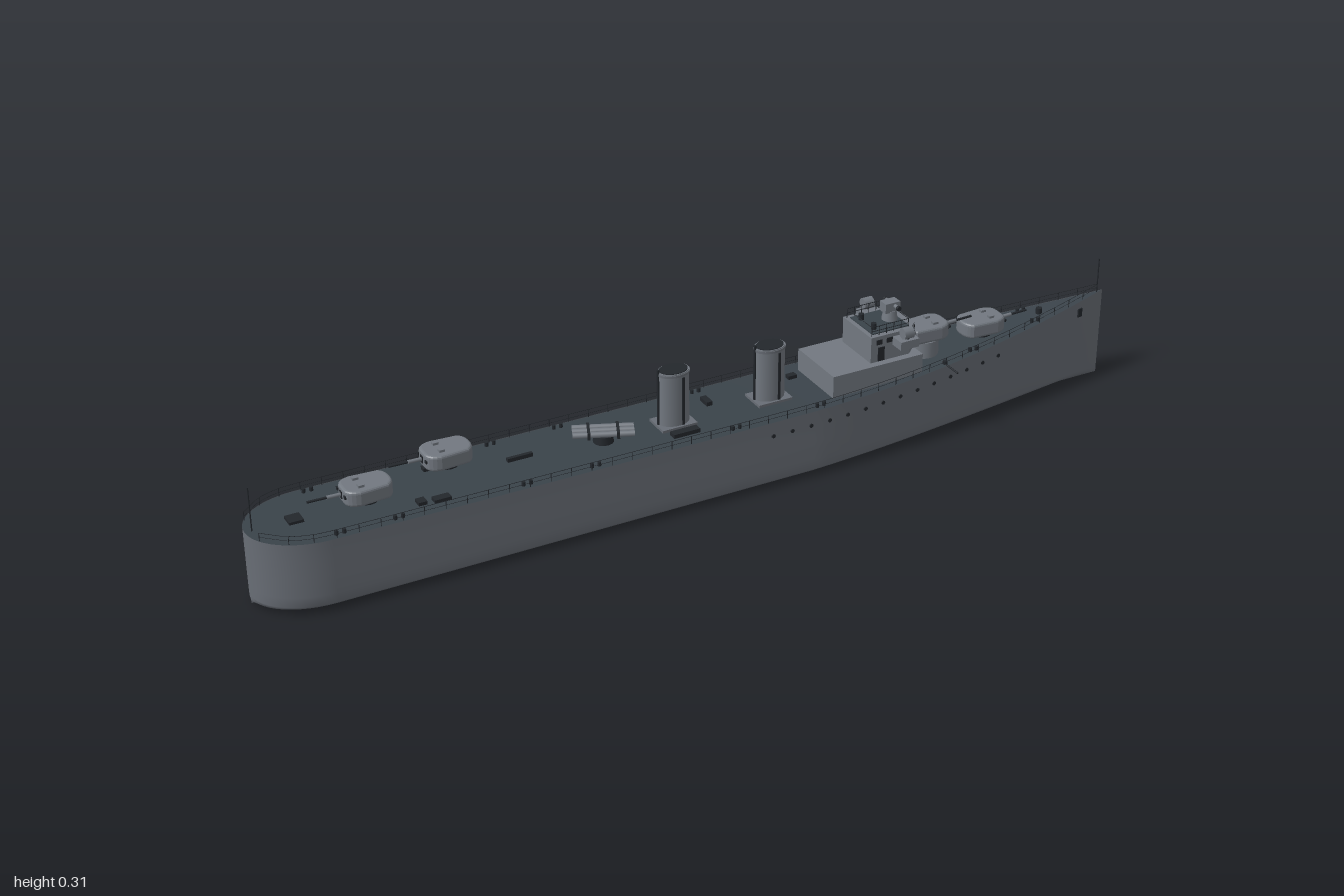
import * as THREE from 'three';

const mat = (name, color, side = THREE.FrontSide) => {
  const m = new THREE.MeshStandardMaterial({ color, side });
  m.name = name;
  return m;
};

// Half beam and deck height along the ship
const beam = (x) => {
  if (x < -0.86) return 0.103 * Math.sqrt(Math.max(0, 1 - ((-0.86 - x) / 0.14) ** 2));
  if (x > 0.2) return 0.103 * (1 - ((x - 0.2) / 0.8) ** 1.8);
  return 0.103;
};
const sheer = (x) => 0.156 + (x > 0.1 ? 0.05 * ((x - 0.1) / 0.9) ** 2 : 0) + (x < 0 ? 0.004 * x * x : 0);
// The lower hull is finer than the deck towards the bow
const sideAt = (x, v) => beam(x) * (1 - (x > 0.2 ? 0.35 * ((x - 0.2) / 0.8) * (1 - v) : 0));

const stations = [];
for (let i = 0; i <= 12; i++) stations.push(-0.86 - 0.14 * Math.cos((i / 12) * Math.PI / 2));
for (let x = -0.7; x < 0.2; x += 0.15) stations.push(x);
for (let i = 0; i <= 24; i++) stations.push(0.2 + (0.8 * i) / 24);

// Loft rows of equal length into a surface
function loft(rows) {
  const pos = rows.flat(2), idx = [], n = rows[0].length;
  for (let i = 0; i < rows.length - 1; i++) for (let j = 0; j < n - 1; j++) {
    const a = i * n + j, b = a + n;
    idx.push(a, b, a + 1, b, b + 1, a + 1);
  }
  const g = new THREE.BufferGeometry();
  g.setAttribute('position', new THREE.Float32BufferAttribute(pos, 3));
  g.setIndex(idx);
  g.computeVertexNormals();
  return g;
}

export function createModel() {
  const root = new THREE.Group();
  const ship = new THREE.Group();
  ship.name = 'ship';
  ship.position.z = -0.007;
  root.add(ship);

  const hullGrey = mat('hullGrey', 0x686d75, THREE.DoubleSide);
  const deckGrey = mat('deckGrey', 0x3a434a, THREE.DoubleSide);
  const upperGrey = mat('upperworksGrey', 0x727880);
  const dark = mat('darkFittings', 0x23272c, THREE.DoubleSide);

  const add = (name, geo, m, x = 0, y = 0, z = 0, parent = ship) => {
    const mesh = new THREE.Mesh(geo, m);
    mesh.name = name;
    mesh.position.set(x, y, z);
    parent.add(mesh);
    return mesh;
  };
  const box = (name, m, w, h, d, x, y, z, parent) => add(name, new THREE.BoxGeometry(w, h, d), m, x, y + h / 2, z, parent);
  const cyl = (name, m, r, h, x, y, z, parent, r2 = r, seg = 14) =>
    add(name, new THREE.CylinderGeometry(r2, r, h, seg), m, x, y + h / 2, z, parent);
  const rod = (name, m, r, a, b, parent) => {
    const p = new THREE.Vector3(...a), q = new THREE.Vector3(...b);
    const mesh = add(name, new THREE.CylinderGeometry(r, r, p.distanceTo(q), 8), m, 0, 0, 0, parent);
    mesh.position.copy(p).lerp(q, 0.5);
    mesh.quaternion.setFromUnitVectors(new THREE.Vector3(0, 1, 0), q.sub(p).normalize());
    return mesh;
  };

  // Hull: keel to deck edge on both sides
  const half = [[0, 0], [0.5, 0.006], [0.92, 0.011], [0.985, 0.018], [1, 0.04], [1, 0.085], [0.995, 0.12]];
  const section = (x) => {
    const pts = half.map(([f, y]) => [x, y, f * sideAt(x, y / 0.16)]);
    pts.push([x, sheer(x), beam(x)]);
    return [...pts.slice(1).reverse().map(([a, y, z]) => [a, y, -z]), ...pts];
  };
  add('hull', loft(stations.map(section)), hullGrey);
  add('deck', loft(stations.map((x) => [-1, 0, 1].map((s) => [x, sheer(x) - 0.001, s * beam(x)]).reverse())), deckGrey);

  // Portholes, anchors, railings and bollards on both sides
  for (const s of [-1, 1]) {
    for (let i = 0; i < 14; i++) {
      const x = 0.1 + i * 0.045, y = sheer(x) - 0.031;
      const p = add('porthole', new THREE.CylinderGeometry(0.0045, 0.0045, 0.004, 12), dark, x, y, s * sideAt(x, y / sheer(x)));
      p.rotation.x = Math.PI / 2;
    }
    const a = box('anchor', dark, 0.012, 0.02, 0.005, 0.93, 0.162, s * (sideAt(0.93, 0.85) + 0.001));
    a.rotation.y = s * 0.2;

    const rail = (x) => new THREE.Vector3(x, sheer(x) + 0.018, s * Math.max(0.001, beam(x) - 0.003));
    const path = [];
    for (let i = 0; i <= 44; i++) {
      const x = -0.985 + (1.97 * i) / 44, p = rail(x);
      path.push(p);
      cyl('railingPost', dark, 0.0008, 0.018, x, p.y - 0.018, p.z, ship, 0.0008, 5);
    }
    const curve = new THREE.CatmullRomCurve3(path);
    add('railing', new THREE.TubeGeometry(curve, 88, 0.0006, 4), dark);
    add('lowerRailing', new THREE.TubeGeometry(curve, 88, 0.0005, 4), dark, 0, -0.009, 0);
    for (const x of [-0.84, -0.72, -0.45, -0.3, 0.02, 0.22, 0.62, 0.8])
      for (const d of [-0.008, 0.008]) cyl('bollard', dark, 0.004, 0.009, x + d, sheer(x), s * (beam(x) - 0.014));
  }

  // Gun mounts: rounded shield, hood, sights and barrel
  const plan = new THREE.Shape();
  plan.moveTo(-0.035, -0.026);
  plan.lineTo(0.022, -0.03);
  plan.quadraticCurveTo(0.044, -0.027, 0.044, -0.01);
  plan.lineTo(0.044, 0.01);
  plan.quadraticCurveTo(0.044, 0.027, 0.022, 0.03);
  plan.lineTo(-0.035, 0.026);
  plan.quadraticCurveTo(-0.046, 0.02, -0.046, 0);
  plan.quadraticCurveTo(-0.046, -0.02, -0.035, -0.026);
  const shield = new THREE.ExtrudeGeometry(plan, { depth: 0.022, bevelSize: 0.006, bevelThickness: 0.006, bevelSegments: 3, curveSegments: 5 });
  shield.rotateX(-Math.PI / 2);
  const gun = (x, y, aft) => {
    const g = new THREE.Group();
    g.name = 'gunMount';
    g.position.set(x, y, 0);
    if (aft) g.rotation.y = Math.PI;
    ship.add(g);
    cyl('gunBase', dark, 0.026, 0.008, 0, -0.006, 0, g);
    add('gunShield', shield, upperGrey, 0, 0.006, 0, g);
    for (const s of [-1, 1]) {
      box('sightHood', upperGrey, 0.012, 0.007, 0.01, 0.015, 0.032, s * 0.016, g);
      box('sightPort', dark, 0.003, 0.006, 0.008, 0.05, 0.018, s * 0.02, g);
    }
    box('gunPort', dark, 0.003, 0.016, 0.01, 0.05, 0.01, 0, g);
    rod('gunBarrel', upperGrey, 0.004, [0.04, 0.018, 0], [0.08, 0.019, 0], g);
    rod('gunMuzzle', dark, 0.0026, [0.075, 0.019, 0], [0.12, 0.02, 0], g);
  };
  gun(0.675, 0.184, false);
  gun(0.53, 0.204, false);
  gun(-0.582, 0.202, true);
  gun(-0.752, 0.17, true);

  // Deckhouse and bridge
  box('deckhouse', upperGrey, 0.22, 0.055, 0.146, 0.37, 0.152, 0);
  cyl('forwardGunPedestal', upperGrey, 0.032, 0.045, 0.53, 0.158, 0, ship, 0.032, 20);
  const bridgePlan = new THREE.Shape();
  bridgePlan.moveTo(-0.06, -0.057);
  bridgePlan.lineTo(0.035, -0.057);
  bridgePlan.lineTo(0.06, -0.035);
  bridgePlan.lineTo(0.06, 0.035);
  bridgePlan.lineTo(0.035, 0.057);
  bridgePlan.lineTo(-0.06, 0.057);
  const bridge = new THREE.ExtrudeGeometry(bridgePlan, { depth: 0.06, bevelEnabled: false });
  bridge.rotateX(-Math.PI / 2);
  add('bridge', bridge, upperGrey, 0.42, 0.206, 0);
  box('bridgeFloor', deckGrey, 0.09, 0.003, 0.09, 0.415, 0.2655, 0);
  for (let i = -2; i <= 2; i++) box('bridgeWindow', dark, 0.003, 0.013, 0.011, 0.4805, 0.246, i * 0.0145);
  for (const s of [-1, 1]) {
    box('bridgeWing', upperGrey, 0.045, 0.019, 0.035, 0.435, 0.239, s * 0.0735);
    for (let i = 0; i < 3; i++) box('sideWindow', dark, 0.014, 0.011, 0.002, 0.38 + i * 0.025, 0.247, s * 0.0575);
    box('bridgeDoor', dark, 0.016, 0.032, 0.002, 0.385, 0.208, s * 0.0575);
    // Searchlights on the wings
    cyl('searchlightStand', dark, 0.004, 0.01, 0.435, 0.256, s * 0.08);
    rod('searchlight', upperGrey, 0.013, [0.422, 0.272, s * 0.08], [0.445, 0.272, s * 0.08]);
    rod('searchlightLens', dark, 0.011, [0.445, 0.272, s * 0.08], [0.447, 0.272, s * 0.08]);
    // Bridge railings
    for (const h of [0.277, 0.287]) rod('bridgeRailing', dark, 0.0008, [0.365, h, s * 0.05], [0.455, h, s * 0.05]);
    for (let i = 0; i < 6; i++) cyl('bridgeRailingPost', dark, 0.0008, 0.022, 0.365 + i * 0.018, 0.266, s * 0.05, ship, 0.0008, 5);
  }
  for (const x of [0.365, 0.455]) rod('bridgeCrossRailing', dark, 0.0008, [x, 0.287, -0.05], [x, 0.287, 0.05]);

  // Gun director with rangefinder
  cyl('directorBase', upperGrey, 0.018, 0.024, 0.44, 0.266, 0, ship, 0.014);
  box('directorHead', upperGrey, 0.036, 0.022, 0.024, 0.44, 0.288, 0);
  rod('rangefinder', upperGrey, 0.0045, [0.445, 0.302, -0.028], [0.445, 0.302, 0.028]);
  for (const s of [-1, 1]) rod('rangefinderEnd', dark, 0.0055, [0.445, 0.302, s * 0.023], [0.445, 0.302, s * 0.029]);
  for (const s of [-1, 1]) cyl('bridgeInstrument', dark, 0.006, 0.016, 0.385, 0.266, s * 0.025);

  // Funnels: oval casings with dark open tops and steam pipes
  for (const x of [-0.08, 0.145]) {
    const f = new THREE.Group();
    f.name = 'funnel';
    f.position.set(x, 0, 0.004);
    ship.add(f);
    const casing = cyl('funnelCasing', upperGrey, 0.034, 0.128, 0, 0.152, 0, f, 0.034, 28);
    const band = cyl('funnelRim', hullGrey, 0.036, 0.005, 0, 0.273, 0, f, 0.036, 28);
    const mouth = cyl('funnelMouth', dark, 0.031, 0.002, 0, 0.2795, 0, f, 0.031, 28);
    for (const m of [casing, band, mouth]) m.scale.z = 0.74;
    cyl('steamPipe', dark, 0.003, 0.132, -0.035, 0.155, 0, f);
    for (const s of [-1, 1]) box('funnelLadder', dark, 0.006, 0.11, 0.002, 0.01, 0.16, s * 0.0248, f);
    box('funnelBase', hullGrey, 0.08, 0.008, 0.06, 0, 0.153, 0, f);
  }

  // Trained torpedo tubes
  const tubes = new THREE.Group();
  tubes.name = 'torpedoTubes';
  tubes.position.set(-0.24, 0.155, 0.002);
  tubes.rotation.y = -0.4;
  ship.add(tubes);
  cyl('tubeMount', dark, 0.022, 0.017, 0, 0, 0, tubes, 0.02);
  for (const z of [-0.016, 0, 0.016]) rod('torpedoTube', upperGrey, 0.0065, [-0.063, 0.024, z], [0.063, 0.024, z], tubes);
  for (const x of [-0.03, 0.03]) box('tubeBand', dark, 0.006, 0.015, 0.048, x, 0.0165, 0, tubes);

  // Light guns abreast the forward mounts; the left one is trained outboard
  for (const s of [-1, 1]) {
    const z = s * 0.075;
    cyl('lightGunPedestal', dark, 0.005, 0.012, 0.54, 0.163, z - s * 0.005);
    if (s > 0) rod('lightGunBarrel', dark, 0.002, [0.54, 0.167, 0.06], [0.54, 0.167, 0.119]);
    else rod('lightGunBarrel', dark, 0.002, [0.52, 0.177, z], [0.57, 0.177, z]);
  }

  // Deck fittings
  for (const [x, z, w, d] of [[-0.62, 0.062, 0.035, 0.018], [-0.66, 0.055, 0.018, 0.02], [-0.42, -0.012, 0.055, 0.008],
    [-0.08, 0.055, 0.06, 0.018], [-0.6, -0.06, 0.02, 0.015], [0.02, -0.04, 0.014, 0.03], [0.23, -0.05, 0.02, 0.014], [-0.9, 0, 0.03, 0.03]])
    box('deckHatch', dark, w, 0.01, d, x, 0.154, z);
  cyl('capstan', dark, 0.007, 0.014, 0.83, sheer(0.83) - 0.002, 0);

  // Flagstaffs at stern and bow
  rod('sternFlagstaff', dark, 0.0014, [-0.985, 0.155, 0], [-0.985, 0.255, 0]);
  rod('bowFlagstaff', dark, 0.0014, [0.985, 0.2, 0], [0.985, 0.285, 0]);
  return root;
}
